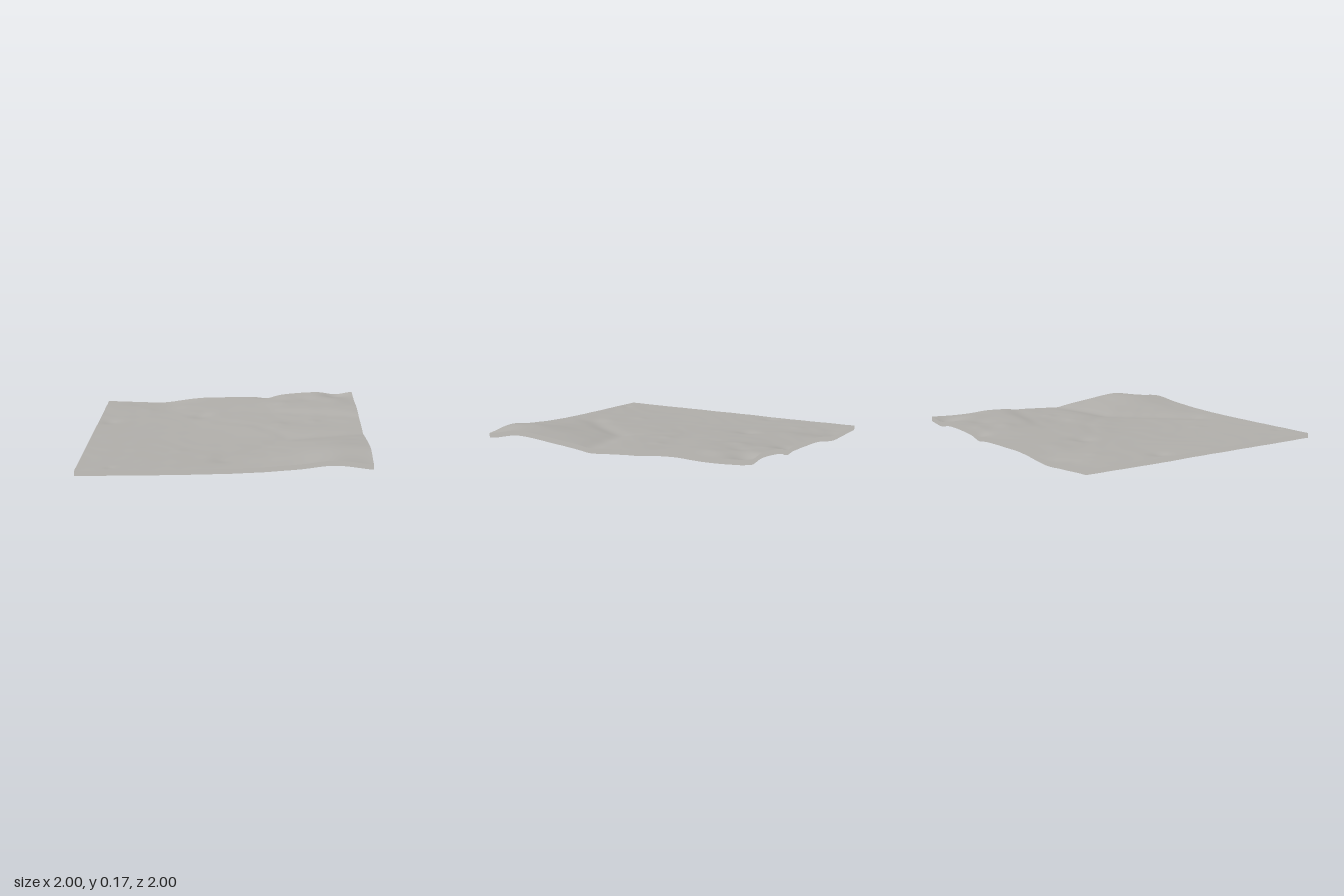
import * as THREE from 'three';

const SEGMENTS = 128;
const SKIRT = 0.035;

// Broad relief: rows run from z = -1 to z = 1, columns from x = -1 to x = 1
const RELIEF = [
  [0.045, 0.041, 0.044, 0.076, 0.085, 0.092, 0.118, 0.136, 0.140],
  [0.048, 0.052, 0.055, 0.075, 0.085, 0.100, 0.118, 0.130, 0.128],
  [0.050, 0.056, 0.062, 0.072, 0.085, 0.100, 0.122, 0.135, 0.140],
  [0.055, 0.058, 0.064, 0.072, 0.088, 0.096, 0.102, 0.114, 0.129],
  [0.060, 0.062, 0.066, 0.072, 0.081, 0.100, 0.108, 0.112, 0.113],
  [0.063, 0.065, 0.068, 0.074, 0.082, 0.091, 0.101, 0.113, 0.122],
  [0.067, 0.070, 0.074, 0.078, 0.084, 0.095, 0.119, 0.145, 0.150],
  [0.070, 0.074, 0.080, 0.085, 0.089, 0.107, 0.135, 0.170, 0.173],
  [0.075, 0.079, 0.084, 0.090, 0.097, 0.110, 0.132, 0.160, 0.135],
];

// Small mounds and hollows: x, z, radius, height
const SPOTS = [
  [0.31, -1.0, 0.07, -0.018], [0.86, -0.95, 0.10, -0.030], [0.84, -0.74, 0.10, 0.009],
  [0.42, -0.70, 0.07, 0.008], [0.45, -0.90, 0.06, 0.005], [0.62, -0.80, 0.07, -0.007],
  [-0.33, 0.53, 0.05, 0.004], [-0.77, 0.92, 0.03, -0.005], [0.65, -0.17, 0.05, 0.005],
  [0.40, -0.12, 0.05, 0.004], [-0.60, -1.0, 0.10, -0.006], [-0.33, -0.75, 0.08, 0.004],
  [-0.65, -0.68, 0.06, 0.004], [-0.1, 0.68, 0.07, 0.003], [-0.75, -0.92, 0.06, -0.004],
  [-0.21, -0.46, 0.075, -0.013], [-0.25, -0.54, 0.06, 0.003], [-0.91, -0.32, 0.06, -0.010],
];

// Channels: depth, half width and the points (x, z) they run through
const CHANNELS = [
  [0.012, 0.08, [[1.1, 0.13], [0.45, 0.25], [0.2, 0.55], [0, 0.75]]],
  [0.006, 0.07, [[1.1, -0.2], [0.7, -0.36], [0.35, -0.45]]],
  [0.004, 0.06, [[0.38, 0.12], [0.2, -0.12], [-0.05, -0.25]]],
];

function spline(a, b, c, d, t) {
  return b + 0.5 * t * (c - a + t * (2 * a - 5 * b + 4 * c - d + t * (3 * (b - c) + d - a)));
}

function sample(list, u) {
  const i = Math.min(Math.floor(u), list.length - 2);
  const at = (k) => list[Math.max(0, Math.min(list.length - 1, k))];
  return spline(at(i - 1), at(i), at(i + 1), at(i + 2), u - i);
}

// Shortest distance from a point to a path of straight pieces
function distanceToPath(x, z, path) {
  let best = Infinity;
  for (let i = 1; i < path.length; i++) {
    const [ax, az] = path[i - 1];
    const dx = path[i][0] - ax, dz = path[i][1] - az;
    const t = THREE.MathUtils.clamp(((x - ax) * dx + (z - az) * dz) / (dx * dx + dz * dz), 0, 1);
    best = Math.min(best, Math.hypot(x - ax - dx * t, z - az - dz * t));
  }
  return best;
}

function heightAt(x, z) {
  const u = (x + 1) * 4, v = (z + 1) * 4;
  let y = sample(RELIEF.map((row) => sample(row, u)), v);
  for (const [cx, cz, r, h] of SPOTS) {
    y += h * Math.exp(-((x - cx) ** 2 + (z - cz) ** 2) / (r * r));
  }
  for (const [depth, width, path] of CHANNELS) {
    y -= depth * Math.exp(-((distanceToPath(x, z, path) / width) ** 2));
  }
  // Faint surface ripple
  y += 0.0008 * Math.sin(x * 17 + 3 * Math.sin(z * 7)) * Math.sin(z * 15 + 2 * Math.sin(x * 9));
  return Math.max(y, SKIRT);
}

// Square sheet that follows the relief
function ground() {
  const geometry = new THREE.PlaneGeometry(2, 2, SEGMENTS, SEGMENTS).rotateX(-Math.PI / 2);
  const p = geometry.attributes.position;
  for (let i = 0; i < p.count; i++) p.setY(i, heightAt(p.getX(i), p.getZ(i)));
  geometry.computeVertexNormals();
  return geometry;
}

// Skirt hanging from one edge, shaded upward so that it blends with the ground
function skirt(x0, z0, x1, z1) {
  const geometry = new THREE.PlaneGeometry(2, 1, SEGMENTS, 1);
  const p = geometry.attributes.position;
  for (let i = 0; i < p.count; i++) {
    const t = (p.getX(i) + 1) / 2;
    const x = x0 + (x1 - x0) * t, z = z0 + (z1 - z0) * t;
    p.setXYZ(i, x, heightAt(x, z) - (p.getY(i) < 0 ? SKIRT : 0), z);
    geometry.attributes.normal.setXYZ(i, 0, 1, 0);
  }
  return geometry;
}

export function createModel() {
  const group = new THREE.Group();
  group.name = 'terrainTile';
  const stone = new THREE.MeshStandardMaterial({ color: 0xafada9, side: THREE.DoubleSide });
  stone.name = 'warmGreyStone';

  const add = (name, geometry) => {
    const mesh = new THREE.Mesh(geometry, stone);
    mesh.name = name;
    group.add(mesh);
  };

  // Open ground sheet with a skirt along each edge
  add('groundSurface', ground());
  add('frontSkirt', skirt(-1, 1, 1, 1));
  add('leftSkirt', skirt(1, 1, 1, -1));
  add('backSkirt', skirt(1, -1, -1, -1));
  add('rightSkirt', skirt(-1, -1, -1, 1));
  return group;
}
